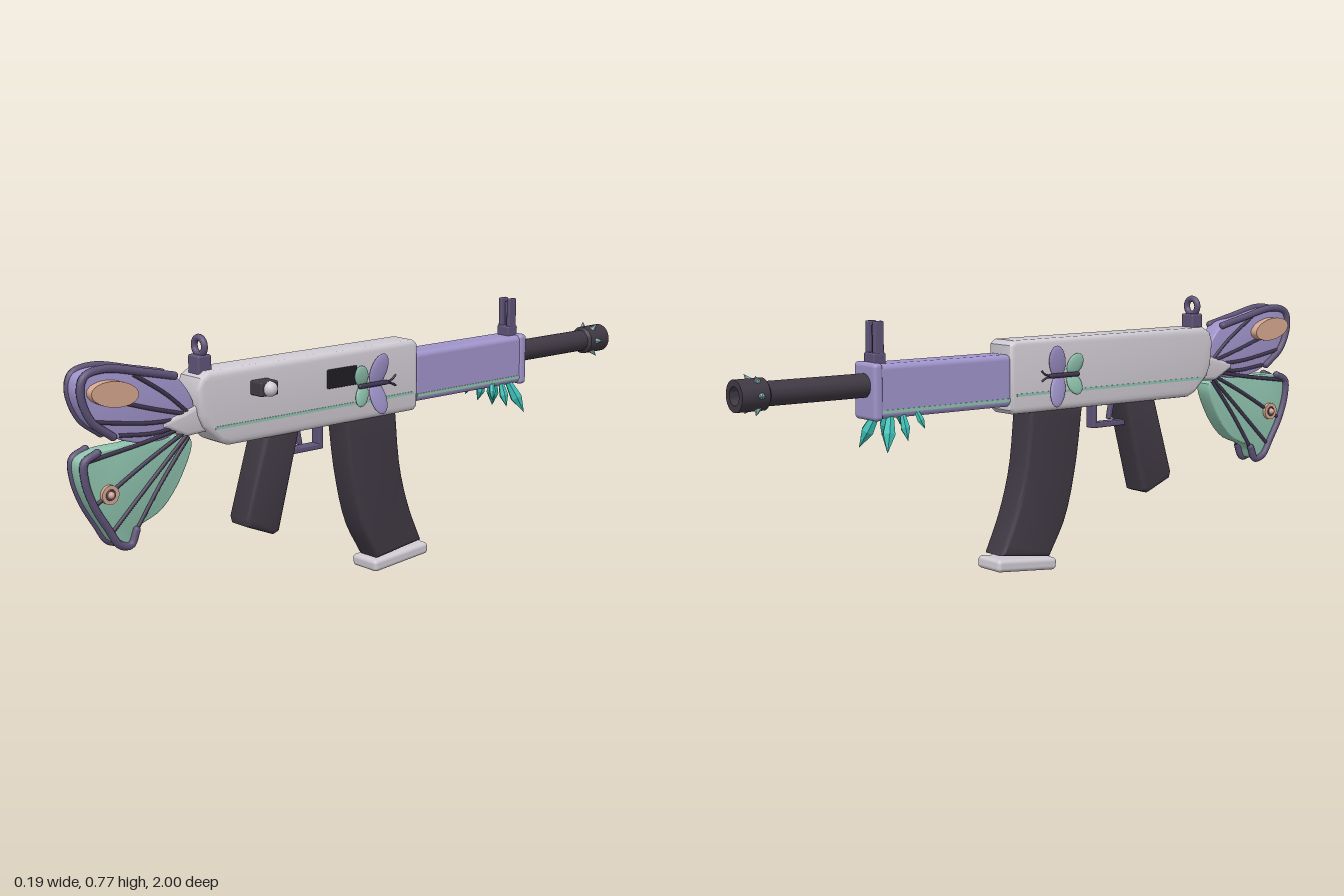
import * as THREE from 'three';
import { toCreasedNormals } from 'three/addons/utils/BufferGeometryUtils.js';
import { RoundedBoxGeometry } from 'three/addons/geometries/RoundedBoxGeometry.js';

const mat = (name, color) => {
  const m = new THREE.MeshStandardMaterial({ color });
  m.name = name;
  return m;
};

export function createModel() {
  const shell = mat('pale grey', 0xcfcad2);
  const lilac = mat('lilac', 0xa094cb);
  const plum = mat('dark plum', 0x5f5478);
  const vein = mat('vein purple', 0x40364f);
  const mint = mat('mint', 0x90c4af);
  const dark = mat('charcoal', 0x403944);
  const black = mat('black', 0x201e23);
  const tan = mat('peach', 0xd6a78f);
  const teal = mat('teal', 0x3cc0b6);
  const mist = mat('misty teal', 0x86b0b2);

  const root = new THREE.Group();
  root.name = 'fantasyToyBlaster';
  const body = new THREE.Group();
  body.name = 'body';
  body.position.x = -0.023;
  root.add(body);

  const add = (name, geo, material, x = 0, y = 0, z = 0, parent = body) => {
    const m = new THREE.Mesh(geo, material);
    m.name = name;
    m.position.set(x, y, z);
    parent.add(m);
    return m;
  };
  const rbox = (w, h, d, r) => new RoundedBoxGeometry(w, h, d, 3, r);

  // side profile given as [z, y] points, extruded across x
  const slab = (pts, halfWidth, bevel) => {
    const shape = new THREE.Shape(pts.map(p => new THREE.Vector2(p[0], p[1])));
    const geo = new THREE.ExtrudeGeometry(shape, {
      depth: 2 * (halfWidth - bevel), bevelEnabled: true, bevelThickness: bevel,
      bevelSize: bevel, bevelOffset: -bevel, bevelSegments: 3,
    });
    geo.translate(0, 0, bevel - halfWidth);
    geo.rotateY(-Math.PI / 2);
    return toCreasedNormals(geo, 0.6);
  };
  const smooth = (pts, closed, n) => new THREE.CatmullRomCurve3(
    pts.map(p => new THREE.Vector3(0, p[1], p[0])), closed, 'centripetal').getPoints(n).map(v => [v.z, v.y]);
  const tube = (pts, r, n = 32) => new THREE.TubeGeometry(new THREE.CatmullRomCurve3(
    pts.map(p => new THREE.Vector3(0, p[1], p[0])), false, 'centripetal'), n, r, 8);

  // receiver
  add('receiver', slab([[0.54, 0.47], [-0.135, 0.47], [-0.15, 0.483], [-0.15, 0.667], [-0.135, 0.68],
    [0.605, 0.68], [0.63, 0.665], [0.642, 0.635], [0.635, 0.565], [0.62, 0.53], [0.57, 0.483]], 0.053, 0.015), shell);
  add('ejectionPort', rbox(0.008, 0.055, 0.11, 0.003), black, 0.053, 0.607, 0.145);
  add('boltHandle', rbox(0.06, 0.04, 0.06, 0.005), dark, 0.07, 0.62, 0.44);
  add('boltKnob', new THREE.SphereGeometry(0.021, 20, 14), shell, 0.101, 0.62, 0.44);

  // handguard
  add('handguard', rbox(0.094, 0.148, 0.46, 0.016), lilac, 0, 0.567, -0.37);
  add('handguardCollar', rbox(0.104, 0.156, 0.03, 0.012), lilac, 0, 0.567, -0.593);
  for (const s of [-1, 1]) {
    add('receiverStripe', new THREE.BoxGeometry(0.004, 0.008, 0.72), mint, s * 0.053, 0.525, 0.23);
    add('handguardStripe', new THREE.BoxGeometry(0.004, 0.009, 0.43), mint, s * 0.047, 0.513, -0.365);
  }

  // barrel and hollow muzzle
  const barrel = new THREE.CylinderGeometry(0.033, 0.033, 0.36, 24);
  add('barrel', barrel.rotateX(-Math.PI / 2), dark, 0, 0.583, -0.77);
  const muzzle = new THREE.LatheGeometry([[0.032, 0], [0.043, 0.008], [0.043, 0.09], [0.025, 0.09], [0.025, 0.042], [0, 0.042]]
    .map(p => new THREE.Vector2(p[0], p[1])), 24);
  add('muzzle', toCreasedNormals(muzzle.rotateX(-Math.PI / 2), 0.6), dark, 0, 0.583, -0.91);
  for (let i = 0; i < 6; i++) {
    const arm = new THREE.Group();
    arm.name = 'muzzleSpikeArm';
    arm.position.set(0, 0.583, -0.955);
    arm.rotation.z = (i + 0.5) * Math.PI / 3;
    body.add(arm);
    const spike = add('muzzleSpike', crystal(0.01, 0.05), mist, 0, 0.038, 0.012, arm);
    spike.rotation.x = -0.5;
  }

  // sights
  add('frontSightBase', rbox(0.05, 0.04, 0.04, 0.005), plum, 0, 0.65, -0.572);
  for (const s of [-1, 1]) add('frontSightPost', rbox(0.014, 0.11, 0.03, 0.004), plum, s * 0.017, 0.7, -0.572);
  add('frontSightPin', rbox(0.01, 0.09, 0.014, 0.003), plum, 0, 0.7, -0.572);
  add('rearSightBase', rbox(0.05, 0.055, 0.045, 0.006), plum, 0, 0.693, 0.598);
  add('rearSightRing', new THREE.TorusGeometry(0.023, 0.0095, 10, 28), plum, 0, 0.743, 0.598);

  // magazine
  const magBack = smooth([[0.125, 0.49], [0.1, 0.305], [0.06, 0.15], [0.0, 0.042]], false, 10);
  const magFront = smooth([[-0.175, 0.065], [-0.125, 0.18], [-0.09, 0.305], [-0.07, 0.49]], false, 10);
  add('magazine', slab([...magBack, ...magFront], 0.045, 0.012), dark);
  const plate = add('magazineFloorplate', rbox(0.106, 0.036, 0.215, 0.012), shell, 0, 0.03, -0.088);
  plate.rotation.x = 0.09;

  // grip, trigger and guard
  add('grip', slab([[0.405, 0.49], [0.48, 0.245], [0.475, 0.225], [0.385, 0.188], [0.365, 0.195], [0.285, 0.49]], 0.044, 0.014), dark);
  add('triggerGuardBottom', rbox(0.035, 0.016, 0.13, 0.004), plum, 0, 0.408, 0.25);
  add('triggerGuardFront', rbox(0.035, 0.08, 0.016, 0.004), plum, 0, 0.44, 0.193);
  const trigger = add('trigger', rbox(0.016, 0.06, 0.014, 0.004), plum, 0, 0.45, 0.265);
  trigger.rotation.x = 0.2;

  // butterfly wing stock
  const upper = [[0.64, 0.59], [0.7, 0.68], [0.79, 0.7], [0.92, 0.725], [0.982, 0.712], [0.995, 0.67],
    [0.965, 0.595], [0.9, 0.545], [0.81, 0.515], [0.73, 0.515], [0.67, 0.55]];
  const lower = [[0.65, 0.5], [0.73, 0.515], [0.84, 0.515], [0.95, 0.51], [0.99, 0.49], [0.99, 0.44], [0.965, 0.37],
    [0.925, 0.305], [0.89, 0.255], [0.855, 0.247], [0.835, 0.285], [0.75, 0.325], [0.68, 0.41]];
  add('upperStockWing', slab(smooth(upper, true, 60), 0.028, 0.004), lilac);
  add('lowerStockWing', slab(smooth(lower, true, 60), 0.0275, 0.004), mint);
  add('wingRoot', slab([[0.6, 0.515], [0.6, 0.6], [0.66, 0.585], [0.74, 0.56], [0.74, 0.545], [0.67, 0.51]], 0.036, 0.012), shell);
  const inset = pts => pts.map(([z, y]) => [z - (z - 0.8) * 0.025, y]);
  const rims = [inset(upper.slice(1, 8)), inset(lower.slice(3, 11))];
  const veins = [
    [[0.66, 0.575], [0.73, 0.635], [0.83, 0.7]], [[0.66, 0.57], [0.77, 0.6], [0.88, 0.635]],
    [[0.66, 0.56], [0.79, 0.565], [0.95, 0.59]], [[0.66, 0.55], [0.76, 0.535], [0.88, 0.545]],
    [[0.66, 0.54], [0.8, 0.515], [0.98, 0.49]], [[0.66, 0.53], [0.8, 0.46], [0.96, 0.37]],
    [[0.66, 0.52], [0.77, 0.42], [0.91, 0.29]], [[0.66, 0.51], [0.75, 0.4], [0.84, 0.275]]];
  for (const s of [-1, 1]) {
    for (const rim of rims) {
      add('wingRim', tube(rim, 0.011, 48), plum, s * 0.029);
      for (const end of [rim[0], rim[rim.length - 1]])
        add('wingRimTip', new THREE.SphereGeometry(0.011, 10, 8), plum, s * 0.029, end[1], end[0]);
    }
    for (const v of veins) add('wingVein', tube(v, 0.006, 10), vein, s * 0.027);
    const spot = new THREE.CylinderGeometry(1, 1, 0.028, 28).rotateZ(Math.PI / 2);
    const eye = add('upperWingSpot', spot, tan, s * 0.038, 0.66, 0.9);
    eye.scale.set(1, 0.034, 0.072);
    eye.rotation.x = -0.15;
    add('lowerWingSpot', new THREE.CylinderGeometry(0.026, 0.026, 0.012, 20).rotateZ(Math.PI / 2), tan, s * 0.032, 0.395, 0.915);
    add('lowerWingSpotCentre', new THREE.SphereGeometry(0.01, 12, 8), tan, s * 0.04, 0.395, 0.915);
    add('lowerWingSpotRing', new THREE.TorusGeometry(0.013, 0.0025, 6, 18).rotateY(Math.PI / 2), plum, s * 0.038, 0.395, 0.915);
  }

  // butterfly ornaments: [material, y, z, half height, half depth, tilt]
  const petals = [[lilac, 0.612, 0.012, 0.05, 0.031, -0.3], [lilac, 0.53, 0.014, 0.05, 0.028, 0.3],
    [mint, 0.602, 0.078, 0.034, 0.026, 0.5], [mint, 0.545, 0.076, 0.034, 0.024, -0.5]];
  for (const s of [-1, 1]) {
    for (const [m, y, z, h, d, tilt] of petals) {
      const p = add('butterflyWing', new THREE.SphereGeometry(1, 20, 12), m, s * 0.06, y, z);
      p.scale.set(0.007, h, d);
      p.rotation.set(tilt, 0, (y > 0.57 ? -1 : 1) * s * 0.18);
    }
    add('butterflyBody', new THREE.CapsuleGeometry(0.007, 0.1, 4, 10).rotateX(Math.PI / 2), vein, s * 0.063, 0.573, 0.035);
    for (const k of [-1, 1])
      add('butterflyAntenna', tube([[-0.015, 0.573], [-0.035, 0.573 + k * 0.006], [-0.05, 0.575 + k * 0.016]], 0.003, 8), vein, s * 0.064);
  }

  // crystals hanging below the handguard: [z, y, radius, length, lean]
  for (const s of [-1, 1]) {
    for (const [z, y, r, len, lean] of [[-0.563, 0.455, 0.019, 0.115, 0.35], [-0.51, 0.468, 0.014, 0.08, 0], [-0.46, 0.485, 0.011, 0.06, -0.3]]) {
      const c = add('crystal', crystal(r, len), teal, s * 0.05, y, z);
      c.rotation.set(Math.PI + lean, 0, -s * 0.35);
    }
  }
  return root;
}

// faceted six-sided crystal pointing along +y
function crystal(r, len) {
  const pts = [[0, -0.5], [0.6, -0.4], [1, 0.05], [0, 0.5]].map(p => new THREE.Vector2(p[0] * r, p[1] * len));
  return toCreasedNormals(new THREE.LatheGeometry(pts, 6), 0.1);
}
